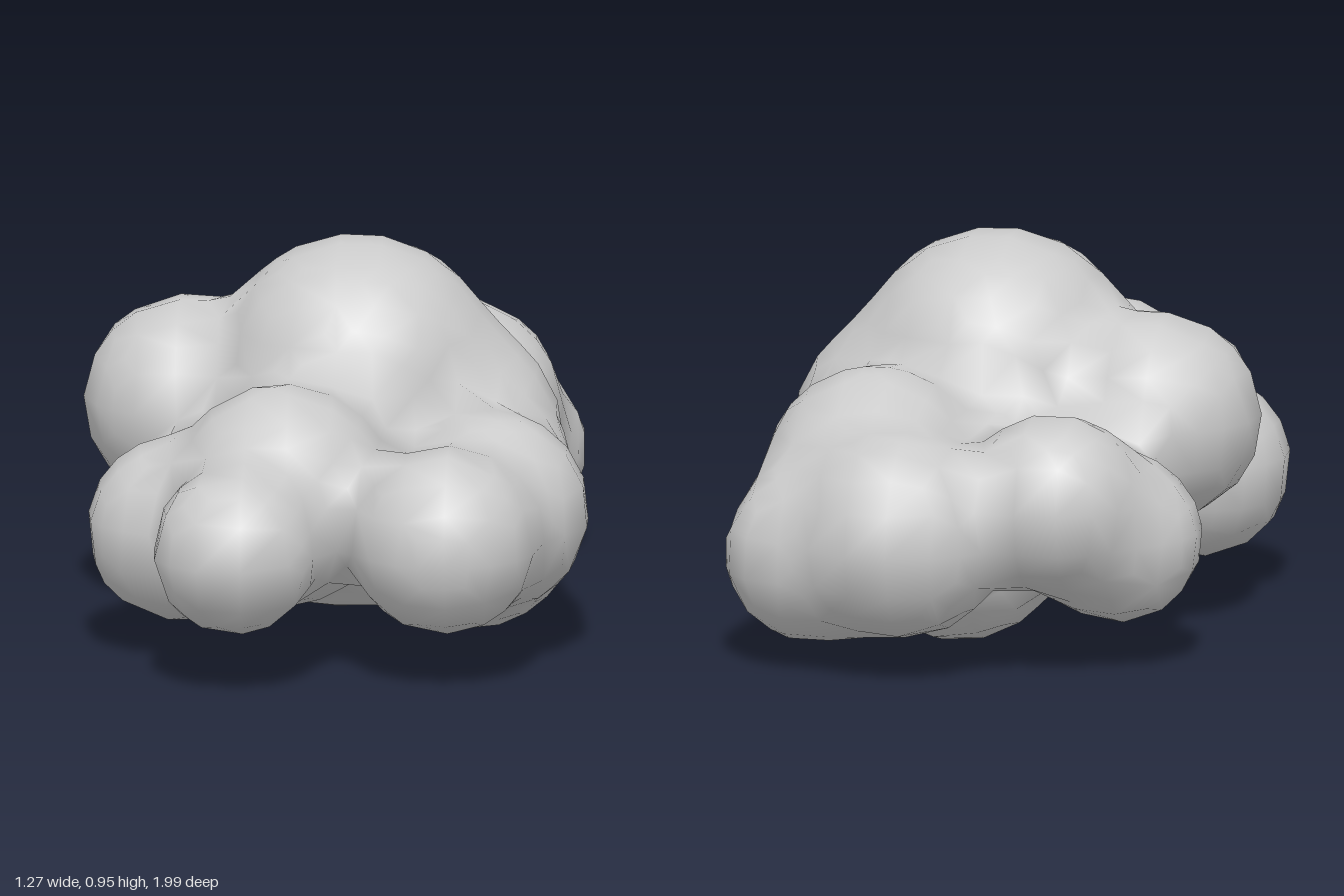
import * as THREE from 'three';

// Puffs of the cloud: x, y, z, radius
const PUFFS = [
  [0.04, 0.62, 0, 0.352],      // crown
  [0, 0.4, 0.1, 0.33],         // core
  [0.07, 0.29, -0.33, 0.28],   // underside
  [-0.15, 0.4, -0.34, 0.21],
  [-0.22, 0.36, 0.79, 0.207],  // front tips
  [0.29, 0.37, 0.69, 0.232],
  [-0.12, 0.43, 0.48, 0.275],  // front shoulders
  [-0.38, 0.32, 0.38, 0.228],
  [0.39, 0.38, 0.41, 0.245],
  [-0.38, 0.54, -0.08, 0.258], // flanks
  [0.32, 0.32, 0.18, 0.288],
  [0.26, 0.47, -0.02, 0.285],
  [0.24, 0.43, -0.46, 0.285],  // rear
  [0.35, 0.29, -0.67, 0.222],
  [0.12, 0.36, -0.74, 0.26],
  [-0.25, 0.44, -0.66, 0.222],
  [-0.38, 0.33, -0.52, 0.21],
];
const BLEND = 0.09, CELL = 0.1;
const MIN = [-0.85, -0.2, -1.2], SIZE = [18, 14, 25];

// Distance to the softly joined puffs, negative inside
function field(x, y, z) {
  let d = 10;
  for (const [a, b, c, r] of PUFFS) {
    const e = Math.hypot(x - a, y - b, z - c) - r;
    const h = Math.max(BLEND - Math.abs(d - e), 0) / BLEND;
    d = Math.min(d, e) - h * h * BLEND / 4;
  }
  return d;
}

function gradient(p) {
  const e = 0.004;
  return new THREE.Vector3(
    field(p.x + e, p.y, p.z) - field(p.x - e, p.y, p.z),
    field(p.x, p.y + e, p.z) - field(p.x, p.y - e, p.z),
    field(p.x, p.y, p.z + e) - field(p.x, p.y, p.z - e)).normalize();
}

// One vertex per grid cell that the surface crosses, joined by quads
function skin() {
  const corner = (i, j, k) => [MIN[0] + i * CELL, MIN[1] + j * CELL, MIN[2] + k * CELL];
  const value = (q) => field(...corner(...q));
  const positions = [], normals = [], indices = [], ids = new Map();

  const vertex = (q) => {
    const key = q.join();
    if (ids.has(key)) return ids.get(key);
    const sum = new THREE.Vector3();
    let count = 0;
    for (let a = 0; a < 3; a++) for (let n = 0; n < 4; n++) {
      const s = [...q];
      s[(a + 1) % 3] += n & 1;
      s[(a + 2) % 3] += n >> 1;
      const t = [...s];
      t[a]++;
      const u = value(s), v = value(t);
      if (u < 0 === v < 0) continue;
      sum.add(new THREE.Vector3(...corner(...s)).lerp(new THREE.Vector3(...corner(...t)), u / (u - v)));
      count++;
    }
    sum.divideScalar(count);
    // settle onto the surface
    for (let n = 0; n < 3; n++) sum.addScaledVector(gradient(sum), -field(sum.x, sum.y, sum.z));
    positions.push(sum.x, sum.y, sum.z);
    normals.push(...gradient(sum).toArray());
    ids.set(key, ids.size);
    return ids.size - 1;
  };

  for (let i = 1; i < SIZE[0]; i++) for (let j = 1; j < SIZE[1]; j++) for (let k = 1; k < SIZE[2]; k++) {
    const p = [i, j, k], inside = value(p) < 0;
    for (let a = 0; a < 3; a++) {
      const next = [...p];
      next[a]++;
      if (inside === value(next) < 0) continue;
      const quad = [[1, 1], [0, 1], [0, 0], [1, 0]].map(([b, c]) => {
        const q = [...p];
        q[(a + 1) % 3] -= b;
        q[(a + 2) % 3] -= c;
        return vertex(q);
      });
      if (!inside) quad.reverse();
      indices.push(quad[0], quad[1], quad[2], quad[0], quad[2], quad[3]);
    }
  }

  const geometry = new THREE.BufferGeometry();
  geometry.setAttribute('position', new THREE.Float32BufferAttribute(positions, 3));
  geometry.setAttribute('normal', new THREE.Float32BufferAttribute(normals, 3));
  geometry.setIndex(indices);
  return geometry;
}

export function createModel() {
  const group = new THREE.Group();
  group.name = 'cloud';
  const geometry = skin();
  geometry.computeBoundingBox();
  geometry.translate(0, -geometry.boundingBox.min.y, 0);
  const puffs = new THREE.Mesh(geometry, new THREE.MeshStandardMaterial({ color: 0xcccccc }));
  puffs.name = 'cloudPuffs';
  group.add(puffs);
  return group;
}
